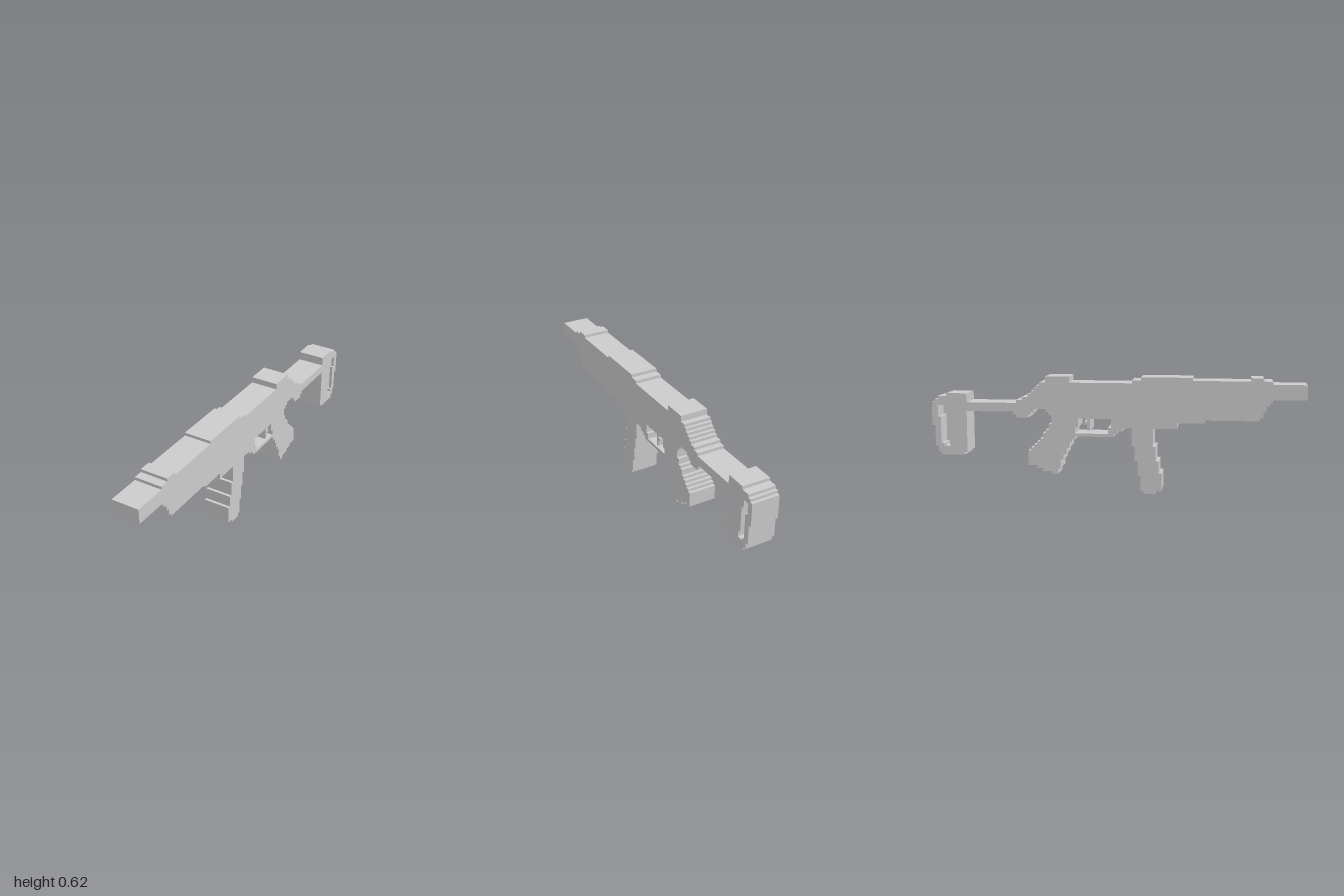
import * as THREE from 'three';

const CELL = 0.016;   // side of one step of the stepped outline
const WIDTH = 0.15;

// Turns corners (cells from the muzzle, cells from the ground) into a staircase:
// each move goes along the length first, then up or down.
function staircase(corners) {
  const points = [];
  let last = corners[corners.length - 1];
  for (const [u, v] of corners) {
    if (u !== last[0] && v !== last[1]) points.push([u, last[1]]);
    points.push([u, v]);
    last = [u, v];
  }
  return points.map(([u, v]) => new THREE.Vector2(1 - u * CELL, v * CELL));
}

export function createModel() {
  const group = new THREE.Group();
  const material = new THREE.MeshStandardMaterial({ color: 0xcccccc, flatShading: true });

  function addSlab(name, outline, hole) {
    const shape = new THREE.Shape(staircase(outline));
    if (hole) shape.holes.push(new THREE.Path(staircase(hole)));
    const geometry = new THREE.ExtrudeGeometry(shape, { depth: WIDTH, bevelEnabled: false });
    geometry.rotateY(-Math.PI / 2);
    geometry.translate(WIDTH / 2, 0, 0);
    const mesh = new THREE.Mesh(geometry, material);
    mesh.name = name;
    group.add(mesh);
  }

  // Barrel and body, with raised sights and a sloping tail
  addSlab('receiver', [
    [0, 32], [0, 37], [11, 38], [14, 39], [18, 38], [37, 39], [54, 38], [57, 37],
    [78, 39], [86, 37], [88, 36], [89, 35], [90, 34], [91, 33], [92, 32], [94, 31],
    [96, 30], [97, 26], [96, 25], [92, 26], [91, 27], [90, 28], [86, 27], [85, 26],
    [84, 25], [58, 22], [42, 24], [33, 25], [15, 26], [14, 28], [13, 30], [12, 31], [11, 32],
  ]);

  // Slanted magazine
  addSlab('magazine', [
    [50, 22], [57, 22], [57, 16], [56, 11], [55, 6], [54, 1], [53, 0],
    [49, 1], [47, 7], [48, 11], [49, 16],
  ]);

  // Guard loop and trigger
  addSlab('triggerGuard', [
    [58, 25], [58, 22], [60, 21], [62, 20], [63, 19], [76, 20], [65, 22], [64, 25],
  ]);
  addSlab('trigger', [
    [71, 25], [72, 25], [72, 24], [73, 24], [73, 23], [72, 23], [72, 21], [71, 21],
  ]);

  // Rear grip
  addSlab('grip', [
    [75, 25], [84, 25], [84, 23], [85, 21], [86, 20], [87, 18], [88, 17], [89, 16],
    [90, 15], [91, 14], [92, 9], [89, 8], [87, 7], [84, 6], [82, 8], [81, 11],
    [80, 13], [79, 15], [78, 17], [77, 18], [76, 22],
  ]);

  // Stock rod and slotted butt
  addSlab('stockRod', [[97, 27], [97, 30], [113, 30], [113, 27]]);
  addSlab('stockButt', [
    [113, 13], [113, 33], [120, 32], [123, 31], [124, 30], [125, 22],
    [124, 15], [123, 13], [122, 12], [114, 13],
  ], [
    [121, 29], [123, 29], [123, 25], [122, 16], [121, 15], [119, 17], [120, 26],
  ]);

  return group;
}
